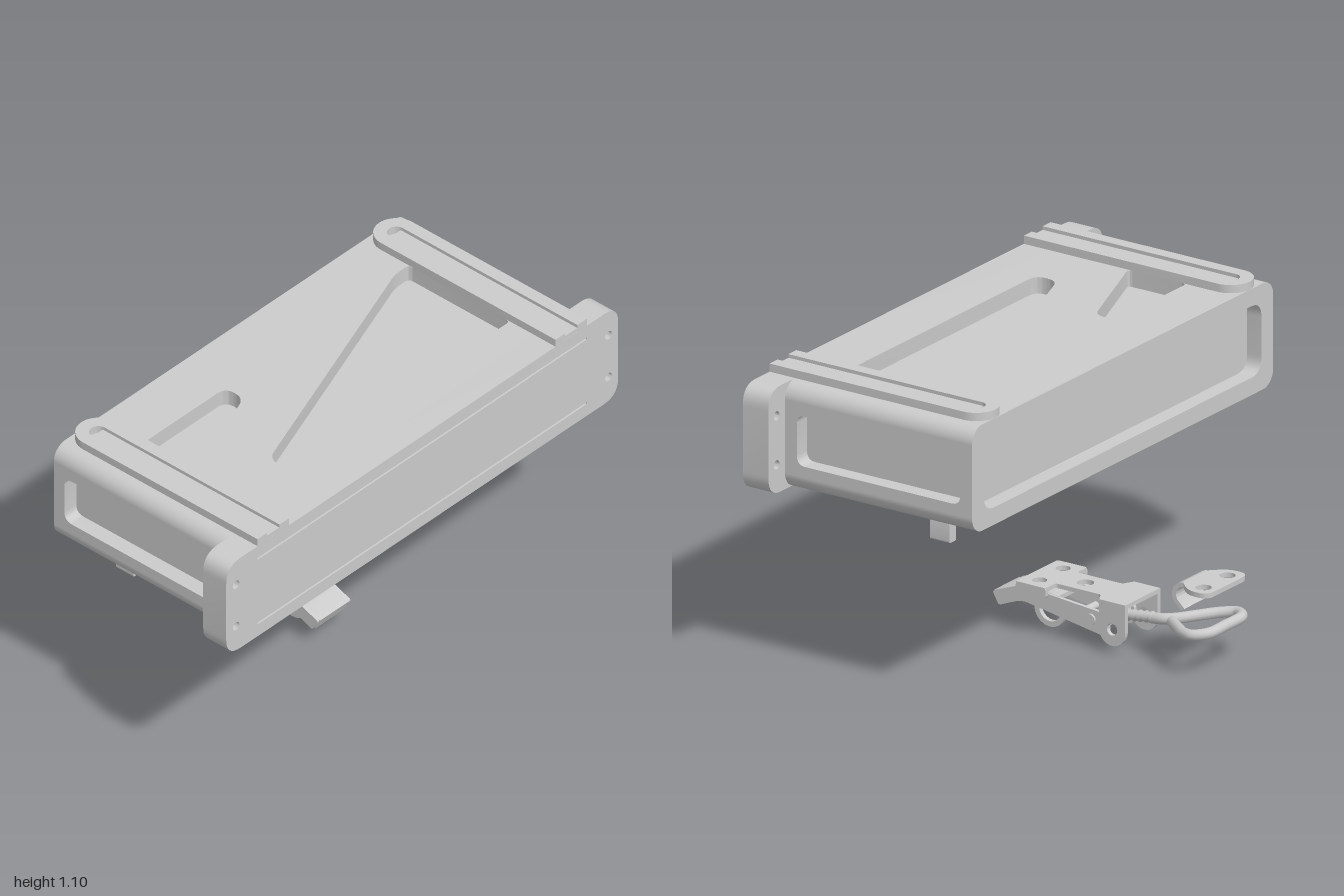
import * as THREE from 'three';
import { toCreasedNormals } from 'three/addons/utils/BufferGeometryUtils.js';

const mat = new THREE.MeshStandardMaterial({ color: 0xcccccc });

function add(parent, name, geo, x = 0, y = 0, z = 0) {
  const m = new THREE.Mesh(geo, mat);
  m.name = name;
  m.position.set(x, y, z);
  parent.add(m);
  return m;
}

// Closed outline with filleted corners; a point may carry its own radius
function outline(pts, r = 0, Type = THREE.Shape) {
  const s = new Type();
  pts.forEach((p, i) => {
    const c = new THREE.Vector2(p[0], p[1]);
    const q = pts[(i + pts.length - 1) % pts.length], n = pts[(i + 1) % pts.length];
    const a = new THREE.Vector2(q[0], q[1]).sub(c), b = new THREE.Vector2(n[0], n[1]).sub(c);
    const rad = Math.min(p[2] ?? r, a.length() * 0.49, b.length() * 0.49);
    a.setLength(rad).add(c);
    b.setLength(rad).add(c);
    if (i === 0) s.moveTo(a.x, a.y); else s.lineTo(a.x, a.y);
    if (rad > 0) s.quadraticCurveTo(c.x, c.y, b.x, b.y);
  });
  s.closePath();
  return s;
}
const rect = (x0, y0, x1, y1, r = 0) => outline([[x0, y0], [x1, y0], [x1, y1], [x0, y1]], r);
const circle = (x, y, r) => new THREE.Path().absarc(x, y, r, 0, Math.PI * 2, true);
const holed = (shape, ...holes) => { shape.holes.push(...holes); return shape; };

// Extrusions along each axis
const raw = (s, d) => new THREE.ExtrudeGeometry(s, { depth: d, bevelEnabled: false, curveSegments: 10 });
const alongZ = (s, d) => toCreasedNormals(raw(s, d), 0.6);
const alongX = (s, d) => toCreasedNormals(raw(s, d).rotateY(Math.PI / 2), 0.6);
const downY = (s, d) => toCreasedNormals(raw(s, d).rotateX(Math.PI / 2), 0.6); // shape y becomes z

function buildCase(root) {
  const g = new THREE.Group();
  g.name = 'case';
  root.add(g);
  const x0 = -0.225, x1 = 0.57, lo = 0.74, hi = 1.01, t = 0.06, zi = 0.84;

  add(g, 'core', new THREE.BoxGeometry(x1 - x0 - t, hi - lo, zi * 2), (x0 + t + x1) / 2, (lo + hi) / 2, 0);

  // Top and bottom panels with triangular pockets
  for (const [name, top] of [['topPanel', 1.07], ['bottomPanel', lo]]) {
    const large = outline([[-0.015, -0.68, 0.02], [0.455, -0.68, 0.02], [0.455, 0.45, 0.055], [0.365, 0.45, 0.055], [-0.015, -0.61, 0.05]]);
    const small = outline([[-0.015, 0.68, 0.02], [-0.015, 0.255, 0.05], [0.07, 0.255, 0.05], [0.23, 0.68, 0.02]]);
    add(g, name, downY(holed(rect(x0, -zi, x1, zi), large, small), t), 0, top, 0);
  }

  // Rounded long edges
  const edges = [[zi, hi], [-zi, hi], [-zi, lo], [zi, lo]];
  edges.forEach(([z, y], i) => {
    const geo = new THREE.CylinderGeometry(t, t, x1 - x0, 10, 1, false, i * Math.PI / 2, Math.PI / 2);
    add(g, 'roundedEdge', geo.rotateZ(Math.PI / 2), (x0 + x1) / 2, y, z);
  });

  // End walls with a shallow rectangular pocket
  for (const z of [zi, -zi - t]) {
    add(g, 'endWall', alongZ(holed(rect(x0, lo, x1, hi), rect(-0.175, 0.78, 0.51, 0.965, 0.035)), t), 0, 0, z);
  }

  // Rim around the recessed back wall
  add(g, 'backRim', alongX(holed(rect(-zi, lo, zi, hi), rect(-0.83, lo + 0.004, 0.83, hi - 0.004, 0.06)), t), x0, 0, 0);

  // Mounting flange with screw holes and two narrow slits
  const flange = rect(-1, 0.68, 1, 1.07, 0.075);
  for (const z of [-0.95, 0.95]) for (const y of [0.785, 0.965]) flange.holes.push(circle(z, y, 0.017));
  for (const y of [0.735, 1.015]) flange.holes.push(rect(-zi, y - 0.004, zi, y + 0.004));
  add(g, 'mountingFlange', alongX(flange, 0.107), 0.56, 0, 0);

  // Slide rails with a groove open at one end, and feet
  for (const side of [-1, 1]) {
    const z = side * 0.76;
    const rail = new THREE.Shape();
    rail.moveTo(0.667, -0.08);
    rail.lineTo(0.667, -0.032);
    rail.lineTo(-0.145, -0.032);
    rail.absarc(-0.145, 0, 0.032, -Math.PI / 2, Math.PI / 2, true);
    rail.lineTo(0.667, 0.032);
    rail.lineTo(0.667, 0.08);
    rail.lineTo(-0.145, 0.08);
    rail.absarc(-0.145, 0, 0.08, Math.PI / 2, Math.PI * 1.5, false);
    add(g, 'slideRail', downY(rail, 0.03), 0, 1.1, z);
    add(g, 'railFloor', new THREE.BoxGeometry(0.82, 0.017, 0.07), 0.256, 1.0785, z);
    add(g, 'foot', alongX(rect(-0.02, 0.575, 0.02, 0.69, 0.006), 0.08), -0.045, 0, z);
  }
}

function buildLatch(root) {
  const g = new THREE.Group();
  g.name = 'latch';
  g.position.z = 0.013;
  root.add(g);

  // Base plate: two wide ends joined by a narrower neck
  const plate = outline([[-0.3, -0.105], [-0.19, -0.105], [-0.17, -0.065], [0.02, -0.065], [0.02, -0.125], [0.145, -0.125],
    [0.145, 0.125], [0.02, 0.125], [0.02, 0.065], [-0.17, 0.065], [-0.19, 0.105], [-0.3, 0.105]], 0.01);
  holed(plate, circle(-0.06, 0, 0.03), circle(0.083, -0.07, 0.026), circle(0.083, 0.07, 0.026));
  add(g, 'basePlate', downY(plate, 0.016), 0, 0.19, 0);

  // Folded pivot ears, lips and lever cheeks, mirrored
  const ear = new THREE.Shape();
  ear.moveTo(-0.19, 0.19);
  ear.lineTo(-0.3, 0.19);
  ear.lineTo(-0.3, 0.085);
  ear.absarc(-0.245, 0.085, 0.055, Math.PI, Math.PI * 2, false);
  holed(ear, circle(-0.245, 0.09, 0.022));
  const cheek = outline([[-0.215, 0.045, 0.03], [0.15, 0.107, 0.03], [0.245, 0.068, 0.01], [0.272, 0.115, 0.01], [0.15, 0.162, 0.03], [-0.215, 0.13, 0.03]]);
  for (const s of [-1, 1]) {
    add(g, 'pivotEar', alongZ(ear, 0.016), 0, 0, s * 0.097 - 0.008);
    add(g, 'plateLip', alongZ(rect(0.02, 0.15, 0.145, 0.188, 0.01), 0.014), 0, 0, s * 0.118 - 0.007);
    add(g, 'leverCheek', alongZ(cheek, 0.014), 0, 0, s * 0.077 - 0.007);
    const rivet = new THREE.CylinderGeometry(0.02, 0.02, 0.012, 20).rotateX(Math.PI / 2);
    add(g, 'leverRivet', rivet, -0.142, 0.1, s * 0.086);
  }

  // Lever web and finger tip
  const web = outline([[0.0, 0.15], [0.15, 0.162], [0.272, 0.115], [0.265, 0.1], [0.15, 0.146], [0.0, 0.135]]);
  add(g, 'leverWeb', alongZ(web, 0.15), 0, 0, -0.075);
  add(g, 'leverTip', alongZ(outline([[0.25, 0.07], [0.272, 0.115], [0.26, 0.118], [0.238, 0.073]]), 0.15), 0, 0, -0.075);

  // Cross pins and adjusting barrel
  const pin = (name, r, len, x, y) => add(g, name, new THREE.CylinderGeometry(r, r, len, 20).rotateX(Math.PI / 2), x, y, 0);
  pin('leverPin', 0.014, 0.15, -0.142, 0.1);
  pin('barrel', 0.028, 0.1, -0.19, 0.105);
  pin('lockPin', 0.014, 0.15, -0.055, 0.085);

  // Safety ring
  const ring = holed(new THREE.Shape().absarc(0, 0, 0.066, 0, Math.PI * 2, false), circle(0, 0, 0.046));
  add(g, 'safetyRing', alongZ(ring, 0.018), 0.083, 0.066, -0.009);
  add(g, 'ringTab', new THREE.BoxGeometry(0.05, 0.05, 0.018), 0.083, 0.15, 0);

  // Threaded rod: a stepped lathe profile
  const thread = [[0, 0]];
  for (let i = 0; i <= 14; i++) thread.push([i % 2 ? 0.022 : 0.016, i * 0.0125]);
  thread.push([0, 0.175]);
  const rod = new THREE.LatheGeometry(thread.map(p => new THREE.Vector2(...p)), 16).rotateZ(Math.PI / 2 - 0.12);
  add(g, 'threadedRod', rod, -0.18, 0.105, 0);

  // Wire bail rising away from the rod
  const path = [[-0.34, 0], [-0.39, 0.0], [-0.43, 0.02], [-0.54, 0.12], [-0.6, 0.14], [-0.645, 0.1], [-0.65, 0],
    [-0.645, -0.1], [-0.6, -0.135], [-0.555, -0.12], [-0.5, -0.075], [-0.44, -0.022]];
  const pts = path.map(([x, z]) => new THREE.Vector3(x, 0.122 + (-0.34 - x) * 0.13, z));
  const curve = new THREE.CatmullRomCurve3(pts, false, 'centripetal');
  add(g, 'wireBail', new THREE.TubeGeometry(curve, 90, 0.02, 12, false));
  for (const p of [pts[0], pts[pts.length - 1]]) add(g, 'bailEnd', new THREE.SphereGeometry(0.02, 12, 8), p.x, p.y, p.z);
}

function buildCatch(root) {
  const g = new THREE.Group();
  g.name = 'catchHook';
  g.position.z = -0.003;
  root.add(g);
  const plate = outline([[-0.67, -0.125, 0.05], [-0.585, -0.125, 0.04], [-0.53, -0.07, 0.01], [-0.53, 0.07, 0.01], [-0.585, 0.125, 0.04], [-0.67, 0.125, 0.05]]);
  add(g, 'catchPlate', downY(holed(plate, circle(-0.617, -0.072, 0.028), circle(-0.617, 0.072, 0.028)), 0.018), 0, 0.32, 0);

  // Curled lip
  const curl = new THREE.Shape();
  const cx = -0.535, cy = 0.27;
  curl.moveTo(cx, cy + 0.05);
  curl.absarc(cx, cy, 0.05, Math.PI / 2, -0.6, true);
  curl.lineTo(-0.522, 0.214);
  curl.lineTo(-0.537, 0.224);
  curl.absarc(cx, cy, 0.033, -0.6, Math.PI / 2, false);
  add(g, 'curledLip', alongZ(curl, 0.145), 0, 0, -0.0725);
}

export function createModel() {
  const root = new THREE.Group();
  root.name = 'caseWithLatch';
  buildCase(root);
  buildLatch(root);
  buildCatch(root);
  return root;
}
